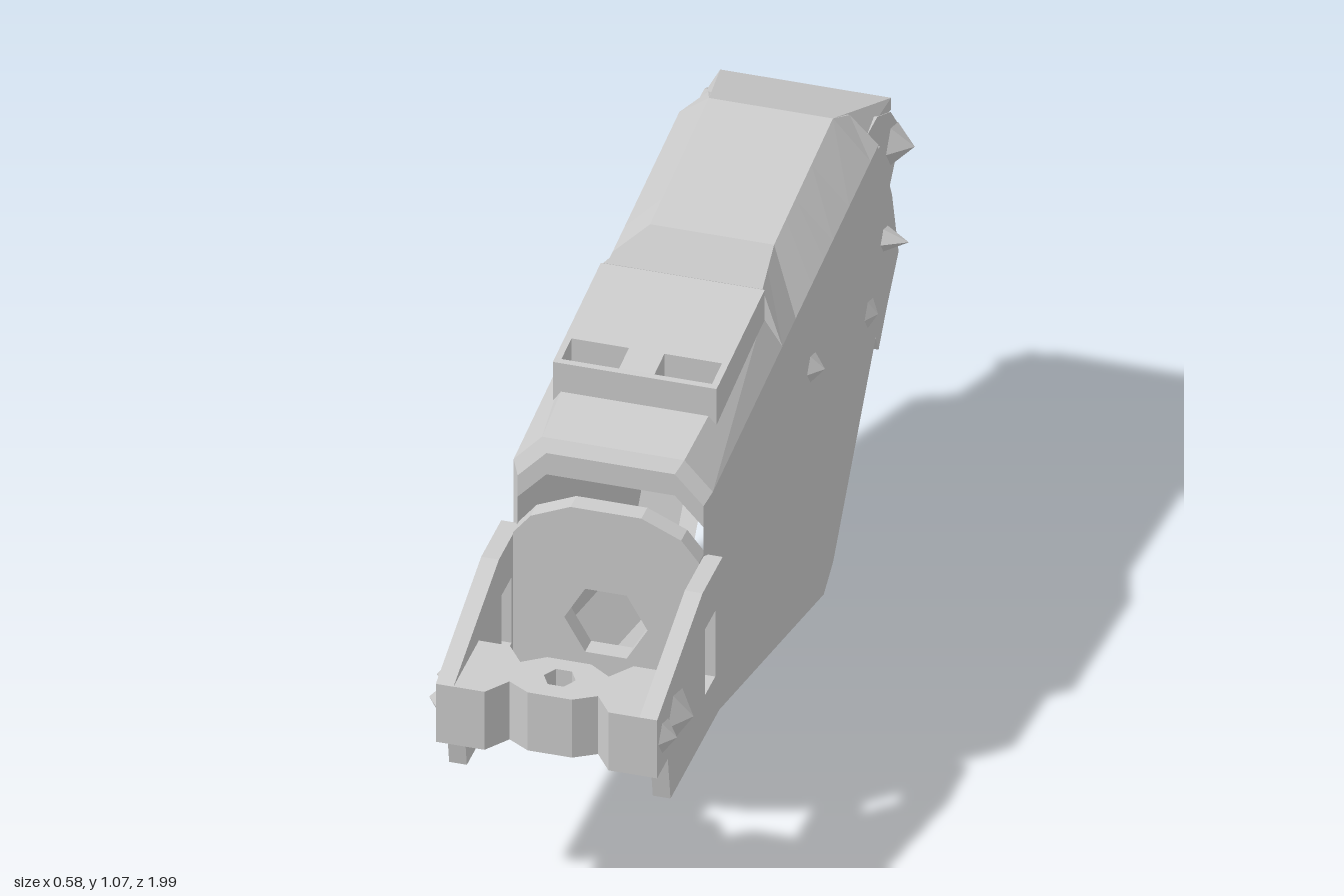
import * as THREE from 'three';

const mat = new THREE.MeshStandardMaterial({ color: 0xcccccc, flatShading: true, side: THREE.DoubleSide });

// piecewise linear rule: pts are [z, value], z falling
function along(pts, z) {
  for (let i = 0; i < pts.length - 1; i++) {
    const [z0, v0] = pts[i], [z1, v1] = pts[i + 1];
    if (z >= z1) return v0 + (v1 - v0) * (z0 - z) / (z0 - z1);
  }
  return pts[pts.length - 1][1];
}
const BOTTOM = [[0.52, 0.22], [-0.33, 0.01], [-0.4, 0.05], [-0.74, 0.455]];
const SIDE = [[0.52, 0.87], [-0.74, 0.99]];
const ROOF = [[0.52, 0.94], [-0.02, 0.99], [-0.021, 1.06], [-0.24, 1.03], [-0.68, 1.08], [-0.74, 1.055]];
const ROOF_W = [[0.52, 0.16], [-0.02, 0.18], [-0.24, 0.14], [-0.68, 0.14], [-0.74, 0.16]];

export function createModel() {
  const root = new THREE.Group();
  const add = (name, geo) => {
    const m = new THREE.Mesh(geo, mat);
    m.name = name;
    root.add(m);
    return m;
  };
  // side profile [z, y] extruded from x0 to x1
  const slab = (name, pts, x0, x1, hole) => {
    const v = p => p.map(([z, y]) => new THREE.Vector2(-z, y));
    const s = new THREE.Shape(v(pts));
    if (hole) s.holes.push(new THREE.Path(v(hole)));
    const g = new THREE.ExtrudeGeometry(s, { depth: x1 - x0, bevelEnabled: false });
    g.rotateY(Math.PI / 2).translate(x0, 0, 0);
    return add(name, g);
  };
  const pair = (name, pts, x0, x1, hole) => {
    slab('left' + name, pts, x0, x1, hole);
    slab('right' + name, pts, -x1, -x0, hole);
  };

  // hollow housing: chamfered cross-sections from the inner front rim to the rear
  const stations = [[0.38, 0.02, 0.09], [0.52, 0.015, 0.08], [0.52, 0.015, 0.025], [0.5, 0, 0]];
  for (const z of [-0.02, -0.021, -0.12, -0.24, -0.33, -0.4, -0.52, -0.68, -0.74]) stations.push([z, 0, 0]);
  const rings = stations.map(([z, ix, iy]) => {
    const b = along(BOTTOM, z) + iy, s = along(SIDE, z) - iy, t = along(ROOF, z) - iy;
    const half = [[0.1, b], [0.14, b], [0.225 - ix, b + 0.075], [0.225 - ix, s], [along(ROOF_W, z) - ix, t]];
    return [...half, ...half.map(([x, y]) => [-x, y]).reverse()].map(([x, y]) => [x, y, z]);
  });
  const pos = [];
  for (let i = 0; i < rings.length - 1; i++) {
    const zMid = (stations[i][0] + stations[i + 1][0]) / 2;
    for (let j = 0; j < 10; j++) {
      if (j === 9 && zMid < -0.12 && zMid > -0.52) continue; // opening in the floor
      const k = (j + 1) % 10;
      const a = rings[i][j], b = rings[i][k], c = rings[i + 1][k], d = rings[i + 1][j];
      pos.push(...a, ...d, ...c, ...a, ...c, ...b);
    }
  }
  const shell = new THREE.BufferGeometry();
  shell.setAttribute('position', new THREE.Float32BufferAttribute(pos, 3));
  shell.computeVertexNormals();
  add('housing', shell);

  // cheeks and lugs around the rear opening
  pair('RearCheek', [[-0.72, 0.98], [-0.75, 0.98], [-0.84, 0.8], [-0.89, 0.62], [-0.8, 0.53], [-0.74, 0.46], [-0.72, 0.5]], 0.19, 0.225);
  pair('RearLug', [[-0.7, 1.0], [-0.83, 1.0], [-0.93, 0.95], [-0.99, 0.88], [-0.98, 0.82], [-0.86, 0.7], [-0.72, 0.66]], 0.16, 0.195);
  pair('RearFoot', [[-0.73, 0.6], [-0.82, 0.58], [-0.82, 0.5], [-0.79, 0.48], [-0.73, 0.46]], 0.08, 0.17);
  pair('InnerBlock', [[-0.76, 0.74], [-0.86, 0.71], [-0.84, 0.64], [-0.74, 0.66]], 0.06, 0.16);
  const roll = add('rearRoll', new THREE.CylinderGeometry(0.075, 0.075, 0.33, 10));
  roll.rotation.z = Math.PI / 2;
  roll.position.set(0, 0.88, -0.915);

  // flared roof tail, widening to the rear
  const tail = slab('roofTail', [[-0.68, 1.08], [-0.94, 0.98], [-0.94, 0.95], [-0.74, 1.0], [-0.68, 1.01]], -0.14, 0.14);
  const tp = tail.geometry.attributes.position;
  for (let i = 0; i < tp.count; i++) {
    const z = tp.getZ(i), low = tp.getY(i) < 1.02 && z > -0.8;
    tp.setX(i, tp.getX(i) * (z < -0.9 || low ? 1.38 : 1));
  }

  // roof box with two open pockets at its front
  slab('roofBox', [[0.25, 0.92], [0.25, 1.037], [-0.02, 1.06], [-0.02, 0.95]], -0.185, 0.185);
  slab('roofBoxFront', [[0.34, 0.92], [0.34, 1.03], [0.325, 1.031], [0.325, 0.92]], -0.185, 0.185);
  const pocketWall = [[0.33, 0.92], [0.33, 1.03], [0.25, 1.037], [0.25, 0.92]];
  slab('roofBoxRib', pocketWall, -0.04, 0.04);
  pair('RoofBoxWall', pocketWall, 0.17, 0.185);

  // arched front plate with hexagonal hole
  const right = [[0.08, 0.235], [0.14, 0.25], [0.21, 0.3], [0.21, 0.72], [0.17, 0.77], [0.08, 0.81]];
  const arch = new THREE.Shape([...right, ...right.map(([x, y]) => [-x, y]).reverse()].map(p => new THREE.Vector2(...p)));
  const ring = (n, r, y, turn = 0) => new THREE.Path(Array.from({ length: n }, (_, i) => {
    const a = turn + i * 2 * Math.PI / n;
    return new THREE.Vector2(r * Math.cos(a), y + r * Math.sin(a));
  }));
  arch.holes.push(ring(6, 0.094, 0.523));
  add('frontPlate', new THREE.ExtrudeGeometry(arch, { depth: 0.045, bevelEnabled: false }).translate(0, 0, 0.51));

  // front yoke: windowed arms
  pair('YokeArm',
    [[0.51, 0.715], [0.66, 0.715], [1, 0.6], [1, 0.45], [0.92, 0.45], [0.9, 0.335], [0.51, 0.335]], 0.21, 0.25,
    [[0.64, 0.61], [0.64, 0.44], [0.565, 0.44], [0.565, 0.61]]);

  // cross bar, waisted beside its pin hole
  const barHalf = [[0.05, 0.83], [0.1, 0.865], [0.14, 0.81], [0.245, 0.81], [0.245, 1], [0.14, 1], [0.1, 0.945], [0.05, 0.975]];
  const bar = new THREE.Shape([...barHalf, ...barHalf.map(([x, z]) => [-x, z]).reverse()].map(([x, z]) => new THREE.Vector2(x, -z)));
  bar.holes.push(ring(6, 0.036, -0.9));
  add('yokeBar', new THREE.ExtrudeGeometry(bar, { depth: 0.15, bevelEnabled: false }).rotateX(-Math.PI / 2).translate(0, 0.45, 0));

  // faceted studs pointing outwards: [x base, y, z, radius, height]
  const studs = [
    [0.25, 0.53, 0.86, 0.06, 0.04], [0.25, 0.53, 0.95, 0.04, 0.03], [0.195, 0.86, -0.945, 0.05, 0.05],
    [0.225, 0.73, -0.24, 0.035, 0.03], [0.225, 0.6, -0.67, 0.035, 0.02], [0.225, 0.72, -0.785, 0.03, 0.055],
  ];
  for (const [x, y, z, r, h] of studs) for (const s of [1, -1]) {
    const m = add(s > 0 ? 'leftStud' : 'rightStud', new THREE.ConeGeometry(r, h, 5));
    m.rotation.z = -s * Math.PI / 2;
    m.position.set(s * (x + h / 2), y, z);
  }
  return root;
}
